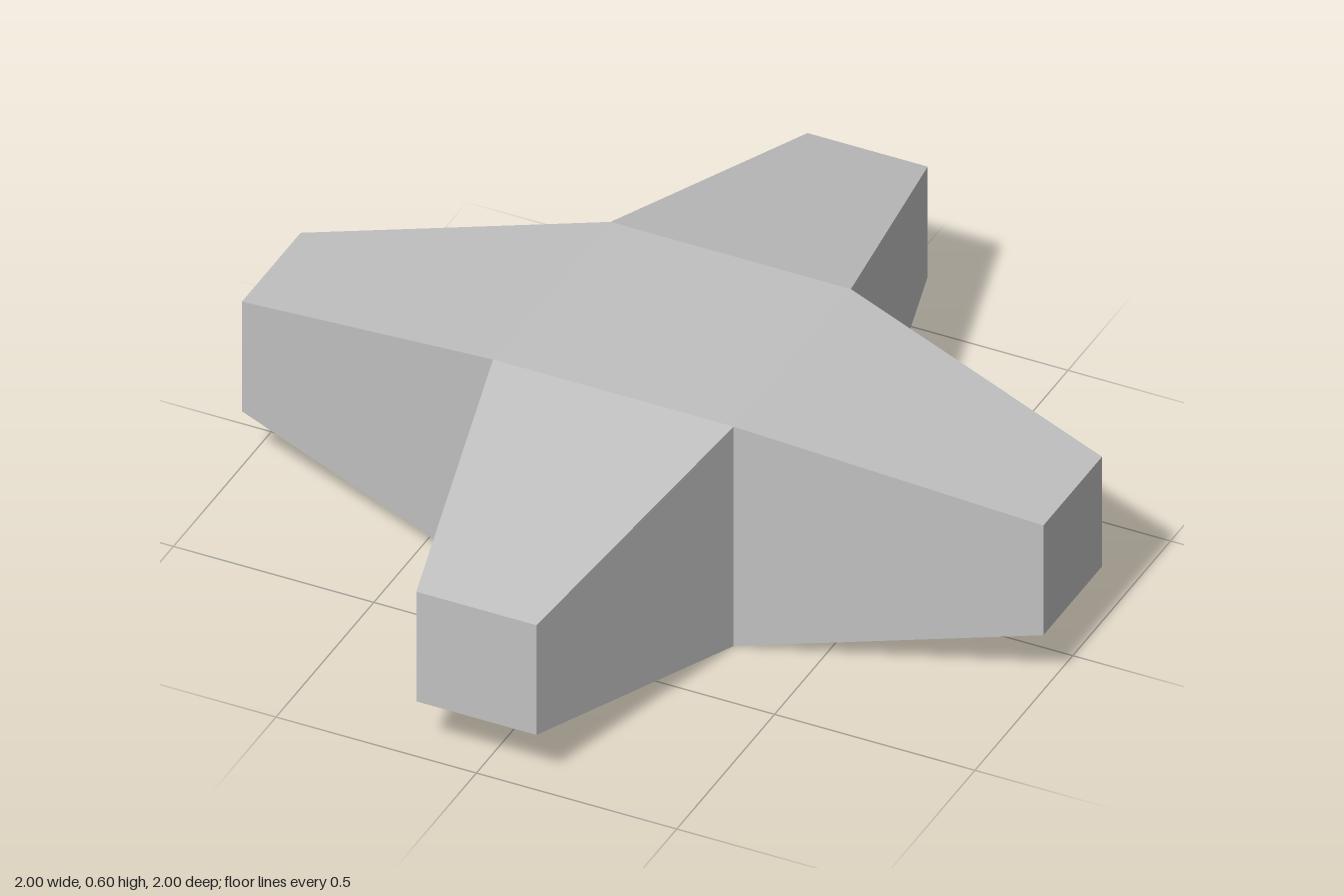
import * as THREE from 'three';

const CORE = 0.6;   // width of the central block
const TIP = 0.3;    // width of each arm's square end
const REACH = 1;    // distance from the centre to an arm's end

// Keeps only a run of a box's six faces (order: +x, -x, +y, -y, +z, -z)
function keepFaces(geometry, first, count) {
  const index = Array.from(geometry.index.array).slice(first * 6, (first + count) * 6);
  geometry.setIndex(index);
  geometry.clearGroups();
  return geometry;
}

// Square arm pointing along +z, tapering to its tip, open where it meets the core
function taperedArm() {
  const length = REACH - CORE / 2;
  const geometry = new THREE.BoxGeometry(CORE, CORE, length);
  geometry.translate(0, 0, CORE / 2 + length / 2);
  const p = geometry.attributes.position;
  for (let i = 0; i < p.count; i++) {
    if (p.getZ(i) > CORE) {
      p.setX(i, p.getX(i) * TIP / CORE);
      p.setY(i, p.getY(i) * TIP / CORE);
    }
  }
  keepFaces(geometry, 0, 5);
  geometry.computeVertexNormals();
  return geometry;
}

export function createModel() {
  const model = new THREE.Group();
  model.name = 'taperedCross';
  const grey = new THREE.MeshStandardMaterial({ color: 0xc0c0c0 });
  grey.name = 'plainGrey';

  // Central block: only its top and bottom are exposed
  const core = new THREE.Mesh(keepFaces(new THREE.BoxGeometry(CORE, CORE, CORE), 2, 2), grey);
  core.name = 'core';
  core.position.y = CORE / 2;
  model.add(core);

  // Four identical arms, a quarter turn apart
  const armGeometry = taperedArm();
  ['frontArm', 'leftArm', 'backArm', 'rightArm'].forEach((name, i) => {
    const arm = new THREE.Mesh(armGeometry, grey);
    arm.name = name;
    arm.position.y = CORE / 2;
    arm.rotation.y = i * Math.PI / 2;
    model.add(arm);
  });

  return model;
}
